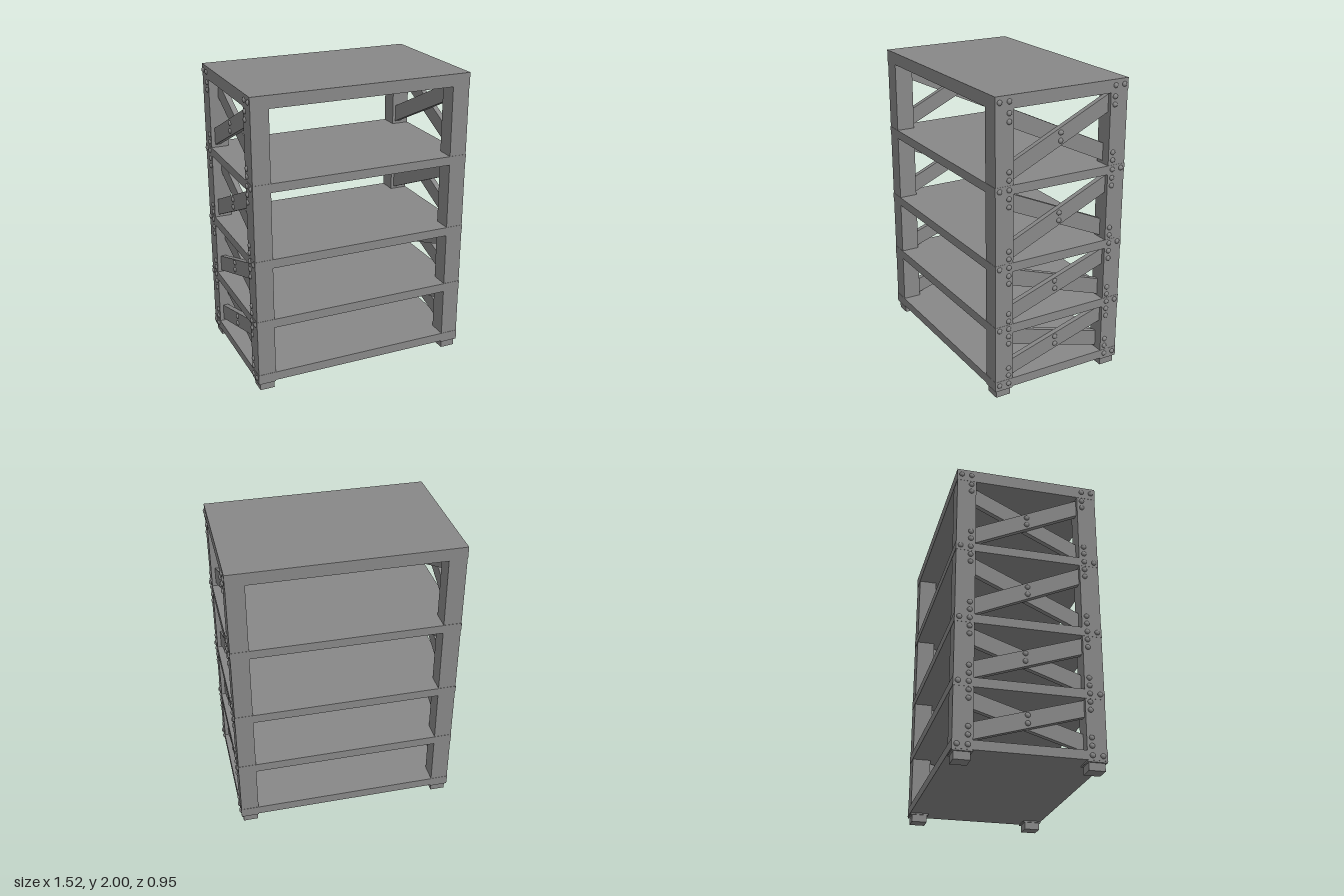
import * as THREE from 'three';

const material = new THREE.MeshStandardMaterial({ color: 0x888888 });

function box(name, sx, sy, sz, x, y, z) {
  const mesh = new THREE.Mesh(new THREE.BoxGeometry(sx, sy, sz), material);
  mesh.name = name;
  mesh.position.set(x, y, z);
  return mesh;
}

// Domed bolt head on a short collar, pointing along +x
const boltGeometry = new THREE.LatheGeometry(
  [[0.017, -0.004], [0.017, 0.003], [0.014, 0.008], [0.008, 0.0115], [0, 0.0125]]
    .map(([r, h]) => new THREE.Vector2(r, h)), 14).rotateZ(-Math.PI / 2);

function bolt(x, y, z) {
  const mesh = new THREE.Mesh(boltGeometry, material);
  mesh.name = 'bolt';
  mesh.position.set(x, y, z);
  return mesh;
}

// Flat diagonal bar from (z0, y0) to (z1, y1)
function brace(name, x, z0, y0, z1, y1) {
  const length = Math.hypot(z1 - z0, y1 - y0);
  const bar = box(name, 0.036, 0.105, length, x, (y0 + y1) / 2, (z0 + z1) / 2);
  bar.rotation.x = -Math.atan2(y1 - y0, z1 - z0);
  return bar;
}

// Shelves: bottom and top height of each
const shelves = [[0.06, 0.12], [0.453, 0.514], [0.878, 0.938], [1.387, 1.446], [1.917, 2]];
const shelfBolts = [0.09, 0.486, 0.91, 1.418, 1.962];
// Bays between shelves: brace heights at the low and high ends, z of the crossing bolts
const bays = [
  { low: 0.176, high: 0.406, z: 0.01 },
  { low: 0.566, high: 0.828, z: 0.02 },
  { low: 0.993, high: 1.335, z: 0 },
  { low: 1.505, high: 1.866, z: 0 },
];

// One end frame, facing +x
function buildEndFrame() {
  const frame = new THREE.Group();
  for (const s of [1, -1]) {
    frame.add(box('post', 0.119, 1.93, 0.126, 0.6885, 1.015, s * 0.41));
    frame.add(box('foot', 0.1, 0.052, 0.104, 0.686, 0.026, s * 0.41));

    // Bolts holding the shelves
    for (const y of shelfBolts) {
      frame.add(bolt(0.749, y, s * 0.445), bolt(0.749, y, s * 0.379));
    }
    // Bolt pairs holding the brace ends
    for (const { low, high } of bays) {
      for (const y of [low, high]) {
        for (const d of [-0.026, 0.026]) frame.add(bolt(0.748, y + d, s * 0.379));
      }
    }
  }
  // Crossed braces, the rising one in front
  for (const { low, high, z } of bays) {
    frame.add(brace('outerBrace', 0.704, 0.385, low, -0.385, high));
    frame.add(brace('innerBrace', 0.668, -0.385, low, 0.385, high));
    const mid = (low + high) / 2;
    for (const d of [-0.026, 0.026]) frame.add(bolt(0.722, mid + d, z));
  }
  return frame;
}

export function createModel() {
  const model = new THREE.Group();
  model.name = 'shelvingUnit';

  shelves.forEach(([y0, y1], i) => {
    const name = i === shelves.length - 1 ? 'topShelf' : 'shelf';
    model.add(box(name, 1.499, y1 - y0, 0.95, 0, (y0 + y1) / 2, 0));
  });

  // The two ends are half-turn copies of each other
  const left = buildEndFrame();
  left.name = 'leftEndFrame';
  const right = buildEndFrame();
  right.name = 'rightEndFrame';
  right.rotation.y = Math.PI;
  model.add(left, right);

  return model;
}
